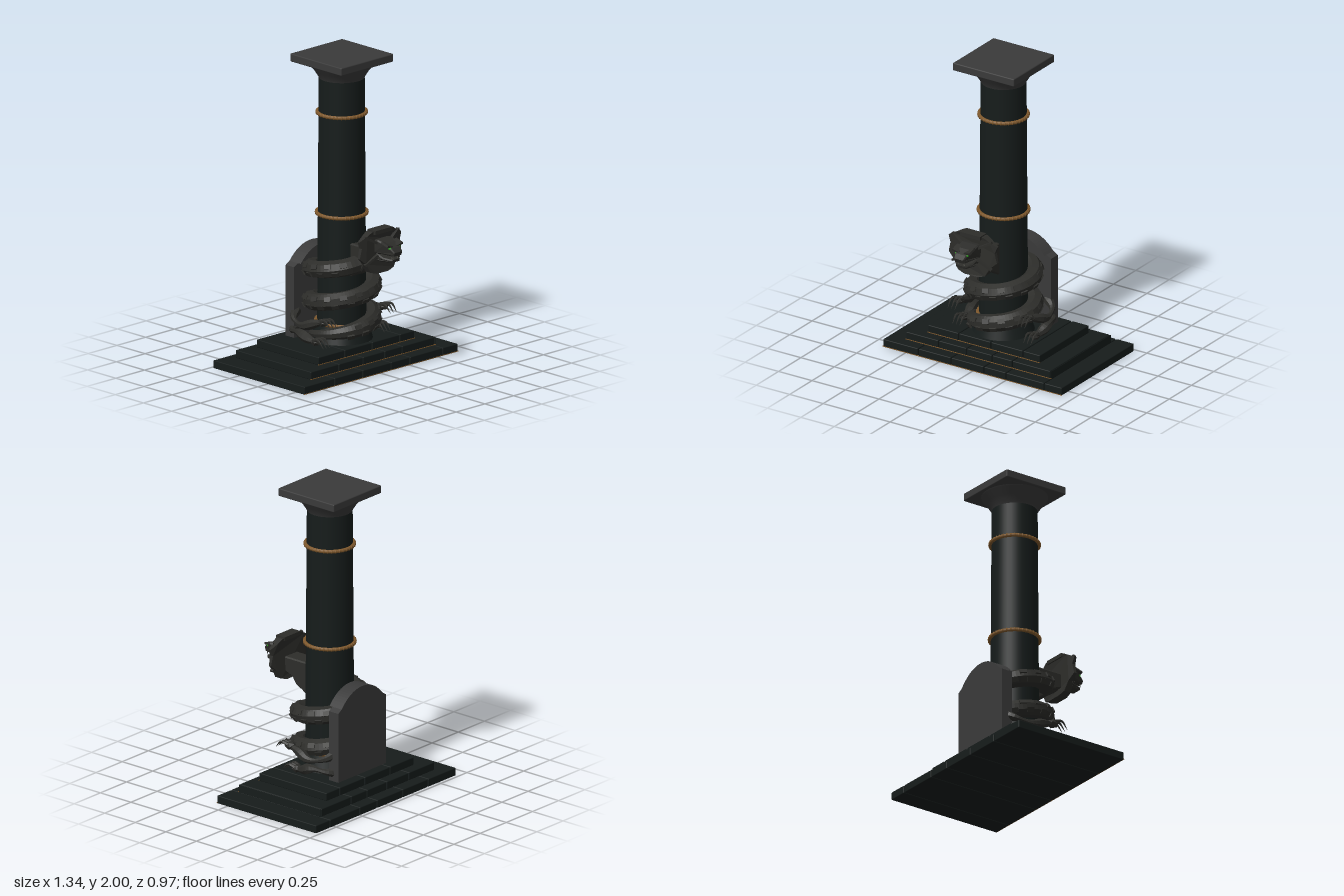
import * as THREE from 'three';
import { RoundedBoxGeometry } from 'three/addons/geometries/RoundedBoxGeometry.js';

const mat = (color, flatShading = false) =>
  new THREE.MeshStandardMaterial({ color, flatShading, side: THREE.DoubleSide });
const DARK = mat(0x161c1b), STONE = mat(0x3a3a3a), SCALE = mat(0x2d2d2a, true);
const GOLD = mat(0x80592c), EYE = mat(0x2fae1c), BONE = mat(0x4a4a44, true);
const CZ = -0.02; // column axis
const V = (x, y, z) => new THREE.Vector3(x, y, z);

function add(parent, name, geo, material, x = 0, y = 0, z = 0) {
  const m = new THREE.Mesh(geo, material);
  m.name = name;
  m.position.set(x, y, z);
  parent.add(m);
  return m;
}

// Tube whose radius follows a rule along its length
function taperedTube(curve, radius, n, sides) {
  const geo = new THREE.TubeGeometry(curve, n, 1, sides);
  const p = geo.attributes.position, v = V(0, 0, 0);
  for (let i = 0; i <= n; i++) {
    const c = curve.getPointAt(i / n), r = radius(i / n);
    for (let j = 0; j <= sides; j++) {
      const k = i * (sides + 1) + j;
      v.fromBufferAttribute(p, k).sub(c).multiplyScalar(r).add(c);
      p.setXYZ(k, v.x, v.y, v.z);
    }
  }
  geo.computeVertexNormals();
  return geo;
}

function shapeOf(points) {
  return new THREE.Shape(points.map(([x, y]) => new THREE.Vector2(x, y)));
}

// Extruded side profile given as [z, y], centred on x
function sideProfile(points, width, bevel = 0.008) {
  const geo = new THREE.ExtrudeGeometry(shapeOf(points), {
    depth: width - 2 * bevel, bevelSize: bevel, bevelThickness: bevel, bevelOffset: -bevel, bevelSegments: 1,
  });
  geo.translate(0, 0, -width / 2 + bevel);
  return geo.rotateY(-Math.PI / 2);
}

function buildSteps(root) {
  const tiers = [
    { w: 0.67, back: -0.48, front: 0.33, y: 0, cuts: [-0.405, -0.16, 0.085, 0.25, 0.535] },
    { w: 0.545, back: -0.41, front: 0.26, y: 0.055, cuts: [-0.3, -0.09, 0.1, 0.25, 0.535] },
    { w: 0.42, back: -0.35, front: 0.2, y: 0.11, cuts: [-0.19, 0.05, 0.29] },
  ];
  const steps = new THREE.Group();
  steps.name = 'steps';
  root.add(steps);
  for (const t of tiers) {
    const xs = [-t.w, ...t.cuts, t.w], d = t.front - t.back;
    for (let i = 0; i < xs.length - 1; i++) {
      const w = xs[i + 1] - xs[i] - 0.006;
      add(steps, 'stepBlock', new RoundedBoxGeometry(w, 0.052, d, 1, 0.005), DARK,
        (xs[i] + xs[i + 1]) / 2, t.y + 0.026, (t.front + t.back) / 2);
    }
    add(steps, 'stepTrim', new THREE.BoxGeometry(2 * t.w, 0.004, 0.005), GOLD, 0, t.y + 0.004, t.front);
  }
}

function buildColumn(root) {
  const column = new THREE.Group();
  column.name = 'column';
  column.position.z = CZ;
  root.add(column);
  add(column, 'shaft', new THREE.CylinderGeometry(0.143, 0.154, 1.71, 40), DARK, 0, 1.005, 0);
  add(column, 'plinth', new THREE.CylinderGeometry(0.16, 0.195, 0.11, 40), DARK, 0, 0.215, 0);
  const flare = [[0.143, 1.85], [0.15, 1.865], [0.172, 1.9], [0.205, 1.94], [0.212, 1.955]];
  add(column, 'capitalFlare', new THREE.LatheGeometry(flare.map(([x, y]) => new THREE.Vector2(x, y)), 40), STONE);
  add(column, 'capitalSlab', new RoundedBoxGeometry(0.456, 0.052, 0.456, 2, 0.007), STONE, 0, 1.974, 0);
  // Twisted gold ropes
  for (const [y, r] of [[0.275, 0.158], [0.975, 0.154], [1.625, 0.15]]) {
    const rope = add(column, 'ropeRing', new THREE.TorusGeometry(r, 0.012, 8, 48), GOLD, 0, y, 0);
    rope.rotation.x = Math.PI / 2;
    for (let i = 0; i < 40; i++) {
      const a = (i / 40) * Math.PI * 2;
      const strand = add(column, 'ropeStrand', new THREE.SphereGeometry(0.007, 6, 4), GOLD,
        Math.sin(a) * (r + 0.008), y, Math.cos(a) * (r + 0.008));
      strand.scale.y = 1.7;
      strand.rotation.y = a;
    }
  }
}

function buildHeadstone(root) {
  const s = new THREE.Shape();
  s.moveTo(-0.228, 0.16);
  s.lineTo(0.228, 0.16);
  s.lineTo(0.228, 0.62);
  s.lineTo(0.195, 0.64);
  s.quadraticCurveTo(0.11, 0.74, 0, 0.74);
  s.quadraticCurveTo(-0.11, 0.74, -0.195, 0.64);
  s.lineTo(-0.228, 0.62);
  add(root, 'headstone', new THREE.ExtrudeGeometry(s, { depth: 0.075, bevelEnabled: false, curveSegments: 12 }), STONE, 0, 0, -0.285);
  // Raised arch along the top of the front face
  const a = new THREE.Shape();
  a.moveTo(0.195, 0.64);
  a.quadraticCurveTo(0.11, 0.74, 0, 0.74);
  a.quadraticCurveTo(-0.11, 0.74, -0.195, 0.64);
  a.lineTo(-0.15, 0.62);
  a.quadraticCurveTo(-0.08, 0.69, 0, 0.69);
  a.quadraticCurveTo(0.08, 0.69, 0.15, 0.62);
  add(root, 'headstoneArch', new THREE.ExtrudeGeometry(a, { depth: 0.03, bevelEnabled: false }), STONE, 0, 0, -0.215);
}

function buildSerpent(root) {
  const snake = new THREE.Group();
  snake.name = 'serpent';
  root.add(snake);
  const at = (deg, R, dy = 0) => {
    const a = THREE.MathUtils.degToRad(deg);
    return V(Math.sin(a) * R, 0.272 + (0.21 * deg) / 360 + dy, CZ + Math.cos(a) * R);
  };
  // Coils rising round the column, then forward into the neck
  const pts = [];
  for (let d = -140; d <= 690; d += 15) pts.push(at(d, 0.193));
  pts.push(V(0, 0.7, 0.19), V(0, 0.75, 0.27));
  const body = new THREE.CatmullRomCurve3(pts);
  add(snake, 'coils', taperedTube(body, t => 0.012 + 0.044 * Math.min(1, t / 0.16), 150, 8), SCALE);
  // Raised scale plates
  for (let i = 0; i < 60; i++) {
    const d = -30 + i * 12, side = i % 2 ? 1 : -1;
    const plate = add(snake, 'scalePlate', new THREE.BoxGeometry(0.045, 0.03, 0.012), SCALE);
    plate.position.copy(at(d, 0.239, side * 0.026));
    plate.rotation.set(-side * 0.5, THREE.MathUtils.degToRad(d), 0.17, 'YXZ');
  }
  add(snake, 'neck', sideProfile([[0.1, 0.58], [0.16, 0.62], [0.21, 0.645], [0.24, 0.69], [0.32, 0.72], [0.32, 0.81], [0.1, 0.81]], 0.12), SCALE);

  // Hood, thinning and sweeping back toward its edges
  const half = [[0.09, 0.935], [0.125, 0.915], [0.182, 0.885], [0.165, 0.84], [0.18, 0.775], [0.135, 0.735], [0.1, 0.675], [0.05, 0.66]];
  const outline = [...half, ...half.map(([x, y]) => [-x, y]).reverse()];
  const hood = new THREE.ExtrudeGeometry(shapeOf(outline), { depth: 0.065, bevelEnabled: false });
  const p = hood.attributes.position;
  for (let i = 0; i < p.count; i++) {
    const f = Math.abs(p.getX(i)) / 0.182;
    p.setZ(i, 0.315 + (p.getZ(i) - 0.0325) * (1 - 0.75 * f * f));
  }
  hood.computeVertexNormals();
  add(snake, 'hood', hood, SCALE);
  add(snake, 'hoodCrest', new THREE.BoxGeometry(0.15, 0.025, 0.07), SCALE, 0, 0.93, 0.32);
  for (const s of [-1, 1]) {
    for (const [y, tilt] of [[0.885, 0.5], [0.755, -0.55]]) {
      const rib = add(snake, 'hoodRib', new THREE.BoxGeometry(0.11, 0.014, 0.02), SCALE, s * 0.1, y, 0.343);
      rib.rotation.set(0, s * 0.25, s * tilt);
    }
  }

  // Head with open jaws
  const skull = sideProfile([[0.32, 0.79], [0.4, 0.8], [0.475, 0.795], [0.485, 0.82], [0.46, 0.845], [0.42, 0.87], [0.36, 0.885], [0.32, 0.88]], 0.13);
  const jaw = sideProfile([[0.32, 0.75], [0.38, 0.745], [0.46, 0.752], [0.465, 0.77], [0.4, 0.775], [0.32, 0.8]], 0.11);
  for (const [name, g] of [['skull', skull], ['lowerJaw', jaw]]) {
    const q = g.attributes.position;
    for (let i = 0; i < q.count; i++) {
      const f = THREE.MathUtils.clamp((q.getZ(i) - 0.4) / 0.08, 0, 1);
      q.setX(i, q.getX(i) * (1 - 0.45 * f));
    }
    g.computeVertexNormals();
    add(snake, name, g, SCALE);
  }
  for (const s of [-1, 1]) {
    add(snake, 'eye', new THREE.SphereGeometry(0.01, 8, 6), EYE, s * 0.04, 0.842, 0.448);
    const brow = add(snake, 'brow', new THREE.BoxGeometry(0.05, 0.014, 0.06), SCALE, s * 0.042, 0.862, 0.425);
    brow.rotation.set(0.3, 0, s * 0.3);
    const fang = add(snake, 'upperFang', new THREE.ConeGeometry(0.007, 0.032, 5), BONE, s * 0.027, 0.785, 0.465);
    fang.rotation.x = Math.PI;
    add(snake, 'lowerFang', new THREE.ConeGeometry(0.006, 0.022, 5), BONE, s * 0.024, 0.778, 0.45);
  }
}

// Clawed limbs gripping both sides
function buildLimbs(root) {
  const limbs = [
    { name: 'upperArm', path: [[0.19, 0.33, -0.23], [0.25, 0.3, -0.19], [0.28, 0.28, -0.09], [0.265, 0.31, 0.01], [0.26, 0.33, 0.08]], r: 0.032 },
    { name: 'lowerLeg', path: [[0.19, 0.21, -0.24], [0.25, 0.22, -0.2], [0.278, 0.23, -0.12], [0.27, 0.2, -0.03], [0.265, 0.195, 0.02]], r: 0.034 },
  ];
  for (const s of [-1, 1]) {
    for (const { name, path, r } of limbs) {
      const limb = new THREE.Group();
      limb.name = name;
      root.add(limb);
      const curve = new THREE.CatmullRomCurve3(path.map(([x, y, z]) => V(s * x, y, z)));
      add(limb, 'limb', taperedTube(curve, t => r * (0.72 + 0.28 * Math.cos(t * 9)), 16, 7), SCALE);
      const [x, y, z] = path[4];
      const palm = add(limb, 'palm', new THREE.IcosahedronGeometry(0.033, 0), SCALE, s * x, y, z);
      palm.scale.set(1.05, 0.85, 1.2);
      for (let i = -1; i <= 1; i++) {
        const finger = new THREE.CatmullRomCurve3([
          V(s * x + i * 0.02, y + 0.01, z), V(s * x + i * 0.028, y + 0.022, z + 0.05), V(s * x + i * 0.026, y - 0.025, z + 0.095)]);
        add(limb, 'claw', taperedTube(finger, t => 0.013 * (1 - 0.92 * t), 6, 5), SCALE);
      }
    }
  }
}

export function createModel() {
  const root = new THREE.Group();
  root.name = 'serpentColumn';
  buildSteps(root);
  buildColumn(root);
  buildHeadstone(root);
  buildSerpent(root);
  buildLimbs(root);
  return root;
}
